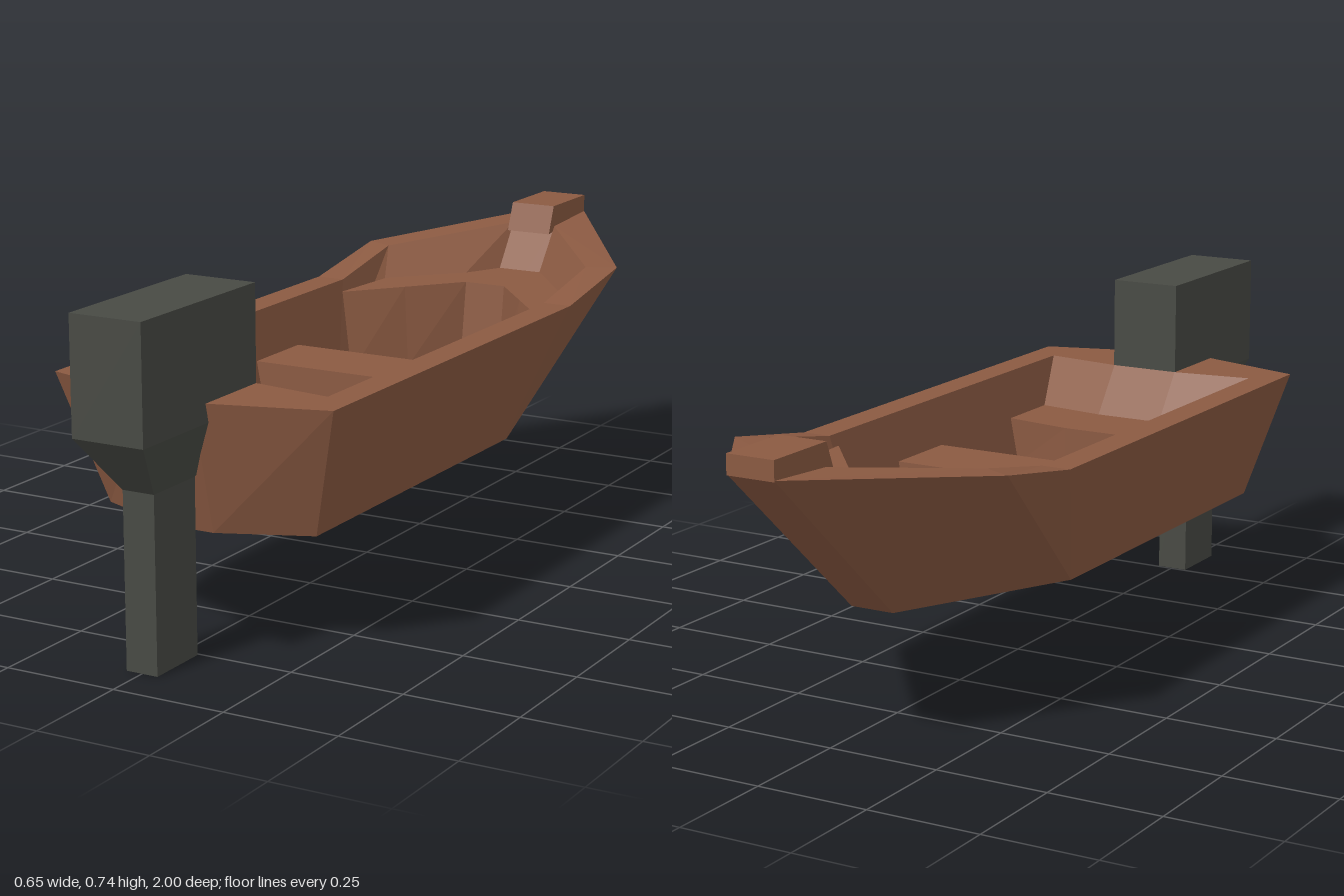
import * as THREE from 'three';

// Half outline plus its mirror image across x = 0
const full = half => [...half, ...half.slice().reverse().map(([x, y, z]) => [-x, y, z])];

// Joins matching half outlines into a faceted skin, with optional flat caps
function loft(name, material, halves, { closed = true, capStart = false, capEnd = false } = {}) {
  const pos = [];
  const quad = (a, b, c, d) => pos.push(...a, ...b, ...c, ...a, ...c, ...d);
  const rings = halves.map(full);
  const n = rings[0].length;
  for (let r = 0; r < rings.length - 1; r++) {
    const a = rings[r], b = rings[r + 1];
    for (let i = 0; i < (closed ? n : n - 1); i++) {
      const j = (i + 1) % n;
      quad(a[i], a[j], b[j], b[i]);
    }
  }
  const cap = (ring, up) => {
    for (let i = 0; i < n / 2 - 1; i++) {
      const q = [ring[i], ring[i + 1], ring[n - 2 - i], ring[n - 1 - i]];
      quad(...(up ? q : q.reverse()));
    }
  };
  if (capStart) cap(rings[0], false);
  if (capEnd) cap(rings[rings.length - 1], true);
  const geometry = new THREE.BufferGeometry();
  geometry.setAttribute('position', new THREE.Float32BufferAttribute(pos, 3));
  geometry.computeVertexNormals();
  const mesh = new THREE.Mesh(geometry, material);
  mesh.name = name;
  return mesh;
}

export function createModel() {
  const wood = new THREE.MeshStandardMaterial({ color: 0x8b5a42 });
  wood.name = 'brown wood';
  const metal = new THREE.MeshStandardMaterial({ color: 0x484a44 });
  metal.name = 'dark grey metal';
  const boat = new THREE.Group();
  boat.name = 'motorBoat';

  // Hull: bottom, outer rim, inner rim, floor; each runs from stern to bow
  const hull = loft('hull', wood, [
    [[0.055, 0.248, 0.72], [0.245, 0.248, 0.64], [0.245, 0.248, -0.19], [0.245, 0.248, -0.2], [0.05, 0.248, -0.59]],
    [[0.055, 0.53, 0.79], [0.325, 0.53, 0.71], [0.325, 0.53, -0.35], [0.325, 0.572, -0.6], [0.055, 0.615, -1]],
    [[0.08, 0.53, 0.595], [0.26, 0.53, 0.62], [0.26, 0.53, -0.35], [0.26, 0.572, -0.57], [0.055, 0.605, -0.83]],
    [[0.08, 0.32, 0.44], [0.22, 0.32, 0.46], [0.22, 0.32, -0.26], [0.18, 0.32, -0.36], [0.05, 0.32, -0.615]],
  ], { capStart: true, capEnd: true });

  // Block on the tip of the bow
  const bowBlock = loft('bowBlock', wood, [
    [[0.055, 0.59, -0.8], [0.055, 0.612, -1]],
    [[0.055, 0.655, -0.825], [0.055, 0.655, -1]],
  ], { capEnd: true });

  // V-shaped bow shelf with its inner wall
  const bowShelf = loft('bowShelf', wood, [
    [[0.252, 0.505, -0.335], [0.238, 0.505, -0.513], [0.055, 0.505, -0.755]],
    [[0.25, 0.505, -0.33], [0.15, 0.505, -0.45], [0.05, 0.505, -0.57]],
    [[0.215, 0.32, -0.31], [0.13, 0.32, -0.43], [0.05, 0.32, -0.545]],
  ], { closed: false });

  // Middle bench
  const bench = loft('middleBench', wood, [
    [[0.22, 0.32, -0.11]], [[0.241, 0.425, -0.11]],
    [[0.241, 0.425, 0.07]], [[0.22, 0.32, 0.07]],
  ], { closed: false });

  // Stern seat with a bowed front edge
  const sternSeat = loft('sternSeat', wood, [
    [[0.22, 0.32, 0.38], [0.08, 0.32, 0.355]],
    [[0.241, 0.425, 0.38], [0.08, 0.425, 0.355]],
    [[0.241, 0.425, 0.545], [0.08, 0.425, 0.52]],
  ], { closed: false });

  // Outboard motor: leg, tapered neck and casing
  const level = (w, y, front, back) => [[w, y, front], [w, y, back]];
  const motor = loft('outboardMotor', metal, [
    level(0.036, 0, 0.9, 0.755),
    level(0.036, 0.37, 0.9, 0.755),
    level(0.081, 0.49, 1, 0.595),
    level(0.081, 0.735, 1, 0.595),
  ], { capStart: true, capEnd: true });

  boat.add(hull, bowBlock, bowShelf, bench, sternSeat, motor);
  return boat;
}
